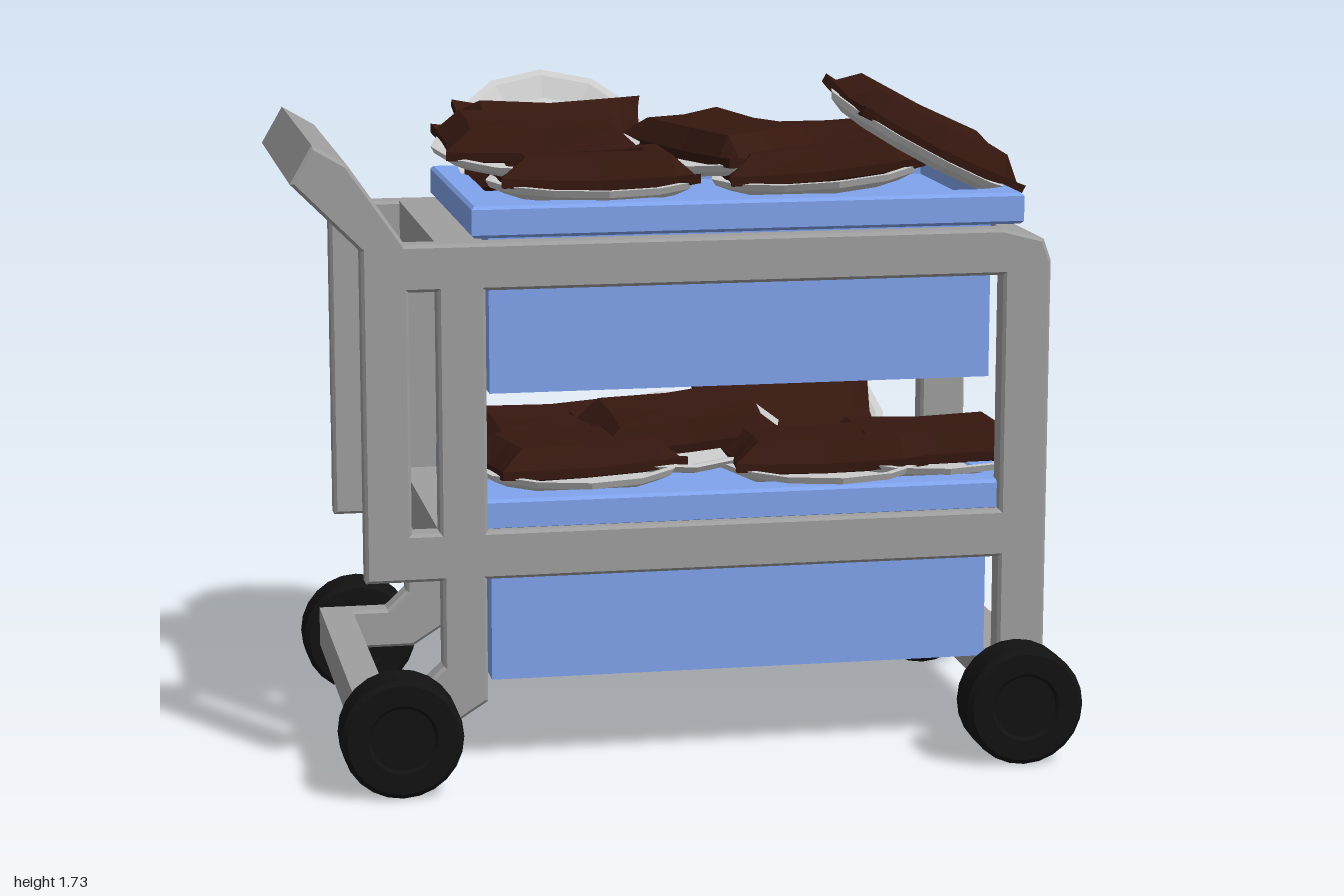
import * as THREE from 'three';
import { toCreasedNormals } from 'three/addons/utils/BufferGeometryUtils.js';

const paint = (color, extra = {}) => new THREE.MeshStandardMaterial({ color, ...extra });

function add(parent, name, geometry, material, x = 0, y = 0, z = 0) {
  const mesh = new THREE.Mesh(geometry, material);
  mesh.name = name;
  mesh.position.set(x, y, z);
  parent.add(mesh);
  return mesh;
}

const outline = (pts, Type = THREE.Shape) => new Type(pts.map(([x, y]) => new THREE.Vector2(x, y)));
const rect = (x0, y0, x1, y1) => [[x0, y0], [x1, y0], [x1, y1], [x0, y1]];

// Slab cut from an outline, centred on its thickness, with softened edges
function slab(pts, thickness, holes = [], bevel = 0.008) {
  const shape = outline(pts);
  shape.holes = holes.map((h) => outline(h, THREE.Path));
  const g = new THREE.ExtrudeGeometry(shape, {
    depth: thickness - 2 * bevel, bevelThickness: bevel, bevelSize: bevel,
    bevelOffset: -bevel, bevelSegments: 1,
  });
  return g.translate(0, 0, bevel - thickness / 2);
}

// Shallow faceted dish
function plateGeometry() {
  const profile = [[0, 0], [0.225, 0], [0.265, 0.018], [0.275, 0.036], [0.255, 0.036], [0.195, 0.012], [0, 0.012]];
  return new THREE.LatheGeometry(profile.map(([r, y]) => new THREE.Vector2(r, y)), 12);
}

// Pillow-like slab: thin drooping rims, pinched sides, pulled corners
function foodGeometry() {
  const g = new THREE.BoxGeometry(2, 2, 2, 4, 2, 4);
  const p = g.attributes.position;
  const step = (v) => Math.sign(v) * (Math.abs(v) > 0.75 ? 1 : Math.abs(v) > 0.25 ? 0.76 : 0);
  for (let i = 0; i < p.count; i++) {
    const u = step(p.getX(i)), v = step(p.getZ(i));
    const edge = Math.max(Math.abs(u), Math.abs(v));
    const half = edge > 0.9 ? 0.012 : 0.044;
    p.setXYZ(i,
      u * (0.235 + 0.02 * v * v),
      p.getY(i) * half + 0.015 * u * u * v * v - (edge > 0.9 ? 0.024 : 0),
      v * (0.132 + 0.023 * u * u));
  }
  g.computeVertexNormals();
  return g;
}

function wheelGeometry() {
  const profile = [[0, -0.055], [0.08, -0.055], [0.088, -0.062], [0.14, -0.062], [0.153, -0.05],
    [0.153, 0.05], [0.14, 0.062], [0.088, 0.062], [0.08, 0.055], [0, 0.055]];
  const g = new THREE.LatheGeometry(profile.map(([r, y]) => new THREE.Vector2(r, y)), 24);
  return toCreasedNormals(g.rotateX(Math.PI / 2), 0.5);
}

export function createModel() {
  const model = new THREE.Group();
  model.name = 'servingCart';
  const grey = paint(0x9f9f9f);
  const blue = paint(0x80a4ee);
  const black = paint(0x121212);
  const white = paint(0xcccccc, { flatShading: true, side: THREE.DoubleSide });
  const brown = paint(0x35170f, { flatShading: true });

  // Side frames with handle arm, legs and openings
  const side = [
    [-0.83, 0.522], [-0.637, 0.522], [-0.637, 0.3], [-0.69, 0.25], [-0.87, 0.25], [-0.87, 0.145],
    [-0.62, 0.145], [-0.525, 0.205], [-0.525, 0.522], [0.803, 0.522], [0.803, 0.145], [0.927, 0.145],
    [0.927, 1.29], [0.907, 1.345], [0.8, 1.373], [-0.72, 1.373], [-0.86, 1.575], [-0.945, 1.625],
    [-1, 1.53], [-0.83, 1.36],
  ];
  const openings = [rect(-0.713, 0.645, -0.642, 1.255), rect(-0.522, 0.645, 0.803, 1.255)];
  const sideGeometry = slab(side, 0.07, openings);
  for (const s of [1, -1]) {
    add(model, s > 0 ? 'frontSideFrame' : 'backSideFrame', sideGeometry, grey, 0, 0, s * 0.4);
  }

  // Bars joining the two side frames
  const bars = {
    handleBar: [[-1, 1.53], [-0.92, 1.46], [-0.86, 1.575], [-0.945, 1.625]],
    handleEndTopRail: rect(-0.642, 1.255, -0.522, 1.373),
    handleEndMiddleRail: rect(-0.642, 0.522, -0.522, 0.645),
    handleEndBottomRail: rect(-0.87, 0.145, -0.785, 0.25),
    farEndTopRail: [[0.803, 1.255], [0.927, 1.255], [0.927, 1.29], [0.907, 1.345], [0.8, 1.373]],
    farEndMiddleRail: rect(0.803, 0.522, 0.927, 0.645),
    farEndBottomRail: rect(0.803, 0.145, 0.927, 0.245),
  };
  for (const [name, pts] of Object.entries(bars)) add(model, name, slab(pts, 0.78), grey);

  // Wheels
  const wheel = wheelGeometry();
  for (const x of [-0.757, 0.843]) {
    for (const s of [1, -1]) add(model, 'wheel', wheel, black, x, 0.155, s * 0.509);
  }

  // Two bins, each with a raised rim
  const rim = slab(rect(-0.707, -0.408, 0.707, 0.408), 0.08, [rect(-0.625, -0.315, 0.625, 0.315)])
    .rotateX(-Math.PI / 2);
  const body = new THREE.BoxGeometry(1.295, 0.44, 0.685);
  for (const [name, y] of [['upperBin', 1.38], ['lowerBin', 0.638]]) {
    const bin = new THREE.Group();
    bin.name = name;
    add(bin, 'rim', rim, blue, 0.155, y + 0.04, -0.005);
    add(bin, 'body', body, blue, 0.145, y - 0.182, 0);
    model.add(bin);
  }

  // Plated servings: x, y, z, tilt about x, tilt about z, turn of the food
  const servings = [
    [-0.32, 1.52, -0.06, 0.12, 0, 0],
    [-0.24, 1.49, -0.32, 0.75, 0, 0],
    [0.54, 1.47, -0.28, -0.08, 0.03, 0],
    [0.18, 1.5, -0.07, 0.05, 0.05, -1.17],
    [0.65, 1.54, 0.11, 0.12, -0.48, 0.12],
    [-0.2, 1.45, 0.1, 0, 0, 0],
    [0.39, 1.46, 0.1, 0, 0.08, 0],
    [-0.24, 0.7, 0.06, 0, 0, 0.2],
    [-0.24, 0.71, -0.2, 0.12, 0, 0.1],
    [0.06, 0.75, -0.08, 0.18, 0.05, 0.1],
    [0.4, 0.74, -0.31, 0.75, 0, 0],
    [0.7, 0.7, 0.06, 0, 0, 0],
    [0.4, 0.7, 0.12, 0, 0, 0],
  ];
  const plate = plateGeometry();
  const food = foodGeometry();
  for (const [x, y, z, rx, rz, turn] of servings) {
    const serving = new THREE.Group();
    serving.name = 'serving';
    serving.position.set(x, y, z);
    serving.rotation.set(rx, 0, rz);
    add(serving, 'plate', plate, white);
    add(serving, 'food', food, brown, 0, 0.056, 0).rotation.y = turn;
    model.add(serving);
  }

  return model;
}
